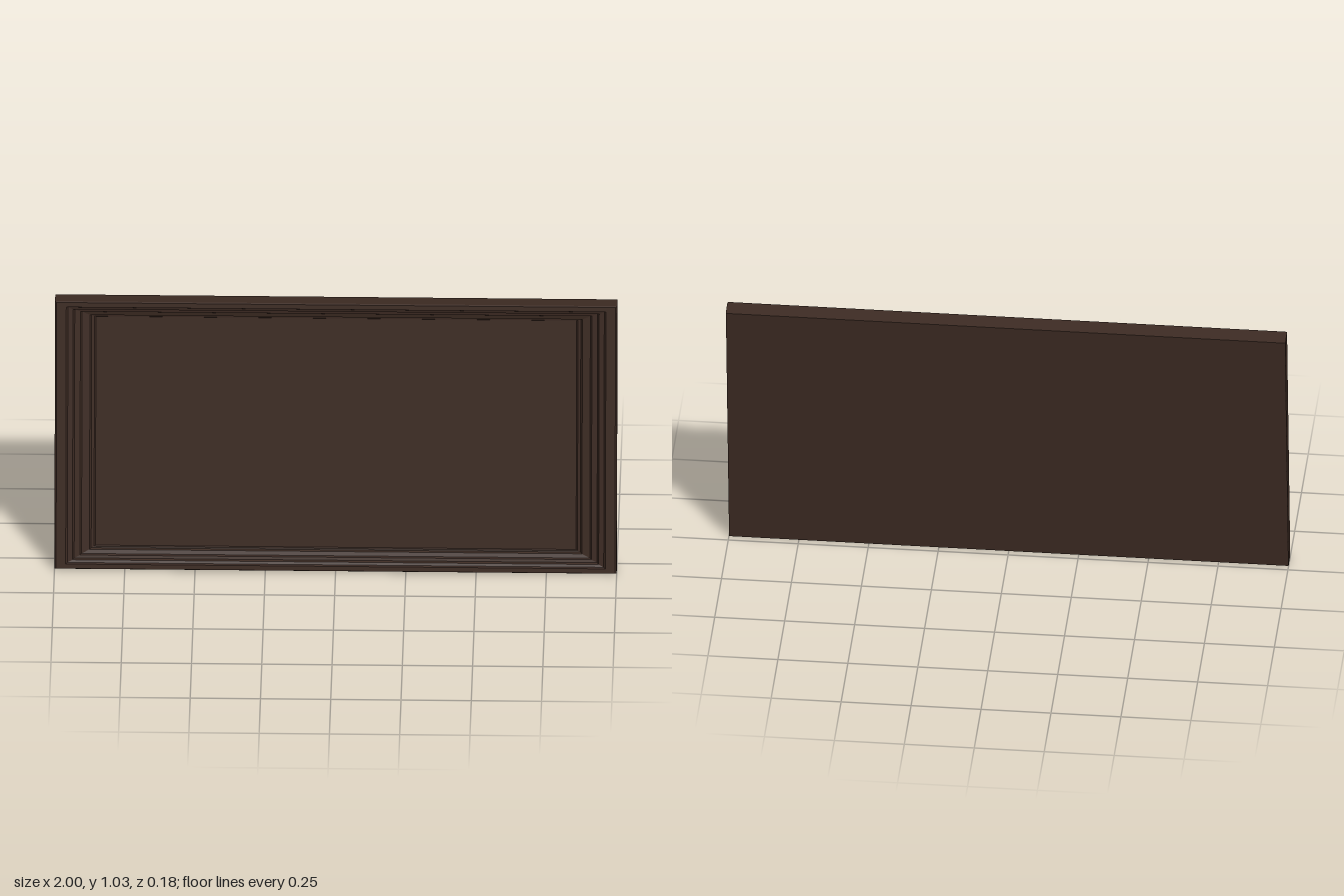
import * as THREE from 'three';

const W = 2, H = 1.034, D = 0.067, TILT = THREE.MathUtils.degToRad(6.5);

// Moulding profile: [inset as a fraction of the half size, height above the back]
const PROFILE = [
  [0, 0], [0, 0.061], [0.006, D], [0.04, D], [0.046, 0.06], [0.064, 0.057],
  [0.07, 0.047], [0.09, 0.045], [0.096, 0.038], [0.124, 0.034],
  [0.13, 0.026], [0.14, 0.025], [0.146, 0.019],
];

// Sweeps the profile around the rectangle with mitred corners
function mouldingGeometry() {
  const corners = [[-1, -1], [1, -1], [1, 1], [-1, 1]];
  const point = (i, k) => {
    const [inset, z] = PROFILE[i];
    const [sx, sy] = corners[k % 4];
    return [sx * (1 - inset) * W / 2, sy * (1 - inset) * H / 2, z - D / 2];
  };
  const pos = [];
  for (let i = 0; i < PROFILE.length - 1; i++) {
    for (let k = 0; k < 4; k++) {
      const a = point(i, k), b = point(i, k + 1);
      const c = point(i + 1, k + 1), d = point(i + 1, k);
      pos.push(...a, ...b, ...c, ...a, ...c, ...d);
    }
  }
  const geo = new THREE.BufferGeometry();
  geo.setAttribute('position', new THREE.Float32BufferAttribute(pos, 3));
  geo.computeVertexNormals();
  return geo;
}

export function createModel() {
  const wood = new THREE.MeshStandardMaterial({ color: 0x3d2b23 });
  const model = new THREE.Group();
  model.name = 'leaningFrame';

  // Stepped border
  const moulding = new THREE.Mesh(mouldingGeometry(), wood);
  moulding.name = 'frameMoulding';

  // Flat board that fills the frame and closes its back
  const panelDepth = 0.02;
  const panel = new THREE.Mesh(new THREE.BoxGeometry(W * 0.9995, H * 0.9995, panelDepth), wood);
  panel.name = 'backPanel';
  panel.position.z = -D / 2 + panelDepth / 2;

  // Lean the whole frame back, resting on its lower rear edge
  const frame = new THREE.Group();
  frame.name = 'frame';
  frame.add(moulding, panel);
  frame.rotation.x = -TILT;
  frame.position.y = (H * Math.cos(TILT) + D * Math.sin(TILT)) / 2;
  model.add(frame);
  return model;
}
